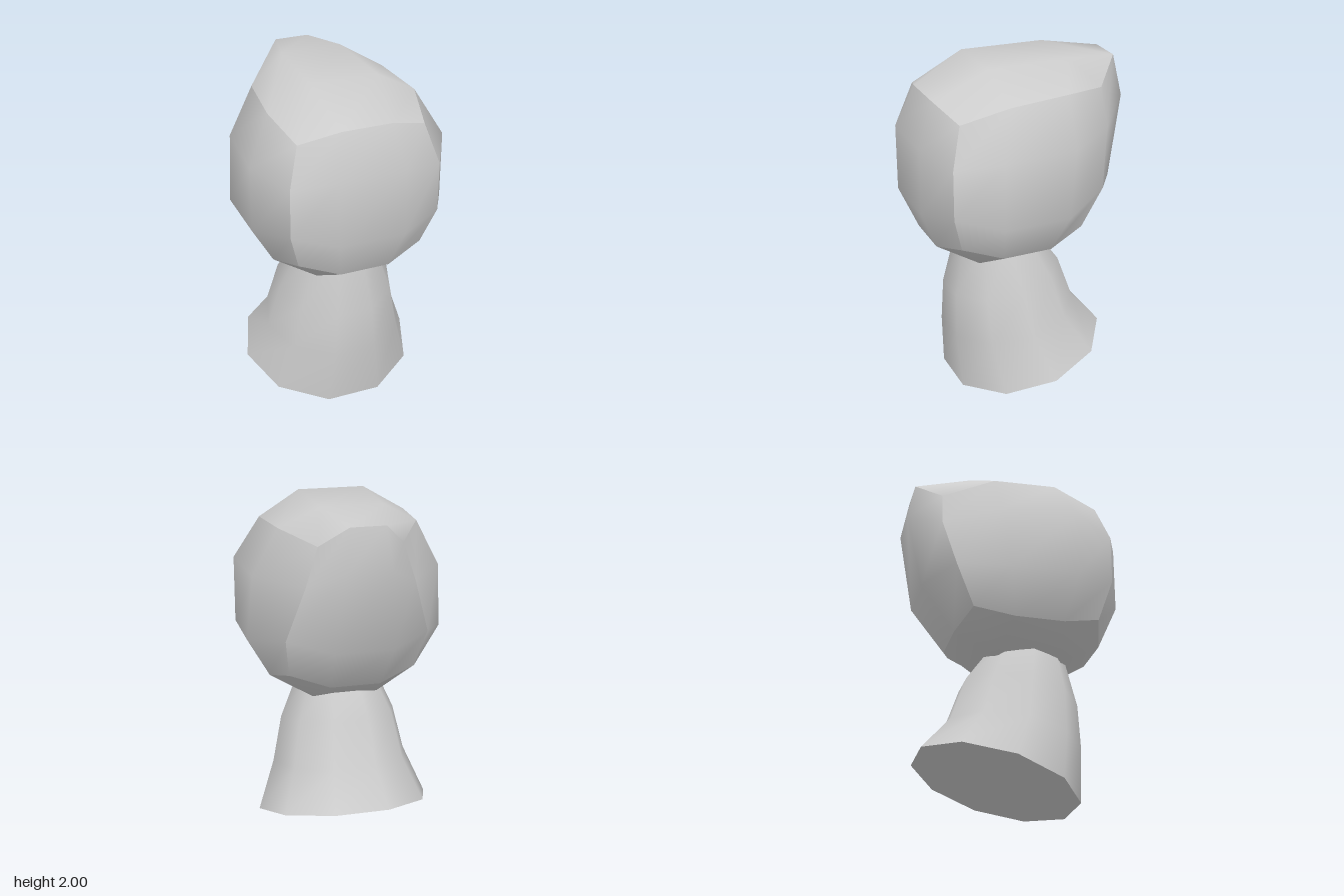
import * as THREE from 'three';
import { mergeVertices } from 'three/addons/utils/BufferGeometryUtils.js';

const material = new THREE.MeshStandardMaterial({ color: 0xcccccc });

function addMesh(group, name, geometry) {
  geometry.computeVertexNormals();
  const mesh = new THREE.Mesh(geometry, material);
  mesh.name = name;
  group.add(mesh);
}

// Moves every vertex of a geometry by a rule (x, y, z) => [x, y, z].
function reshape(geometry, rule) {
  const p = geometry.attributes.position;
  for (let i = 0; i < p.count; i++) p.setXYZ(i, ...rule(p.getX(i), p.getY(i), p.getZ(i)));
  return geometry;
}

// Back of the head, pulled up and out: keyed by grid place |x|,y,z -> [|x|, y, z].
const pulled = {
  '1,3,-3': [0.10, 1.95, -0.585],
  '3,3,-3': [0.24, 1.82, -0.44],
  '1,1,-3': [0.13, 1.71, -0.63],
  '1,-1,-3': [0.17, 1.24, -0.54],
  '3,1,-3': [0.31, 1.60, -0.45],
  '3,-1,-3': [0.41, 1.28, -0.38],
  '1,3,-1': [0.18, 1.995, -0.26],
  '3,3,-1': [0.40, 1.87, -0.16],
  '3,1,-1': [0.545, 1.60, -0.14],
  '1,3,1': [0.195, 2.0, 0.23],
  '3,3,1': [0.435, 1.86, 0.20],
};

// Rounded cube grid: each side is smooth, with a crease along the cube edges.
function headRule(...v) {
  const g = v.map(Math.round);
  const back = pulled[[Math.abs(g[0]), g[1], g[2]].join()];
  if (back) return [Math.sign(g[0]) * back[0], back[1], back[2]];
  const outer = g.filter((c) => Math.abs(c) === 3).length;
  const [far, near] = [[0.575, 0.195], [0.438, 0.145], [0.37, 0]][outer - 1];
  const [x, y, z] = g.map((c) => Math.sign(c) * (Math.abs(c) === 3 ? far : near));
  return [x, y + 1.41, Math.min(z + 0.1, 0.64)];
}

// Tilted neck rings, bottom to top: half width, front z, front y, back z, back y.
const rings = [
  [0.52, 0.40, 0.0, -0.51, 0.25],
  [0.41, 0.42, 0.33, -0.34, 0.45],
  [0.35, 0.41, 0.60, -0.25, 0.71],
  [0.22, 0.335, 0.95, -0.085, 0.95],
];

function neckRule(x, level, z) {
  const [halfWidth, zf, yf, zb, yb] = rings[Math.round(level)];
  const t = 0.5 + z / (2 * Math.cos(Math.PI / 10));
  return [x * halfWidth, THREE.MathUtils.lerp(yb, yf, t), THREE.MathUtils.lerp(zb, zf, t)];
}

export function createModel() {
  const group = new THREE.Group();
  group.name = 'headBust';

  addMesh(group, 'head', reshape(new THREE.BoxGeometry(6, 6, 6, 3, 3, 3), headRule));

  // Ten-sided neck, welded along its seam; its top ends inside the head.
  let neck = new THREE.CylinderGeometry(1, 1, 3, 10, 3, true, Math.PI / 10).translate(0, 1.5, 0);
  neck.deleteAttribute('uv');
  neck.deleteAttribute('normal');
  neck = mergeVertices(neck, 1e-4);
  addMesh(group, 'neck', reshape(neck, neckRule));

  // Slanted flat underside.
  const base = new THREE.CircleGeometry(1, 10).rotateX(Math.PI / 2);
  addMesh(group, 'neckBase', reshape(base, neckRule));

  return group;
}
